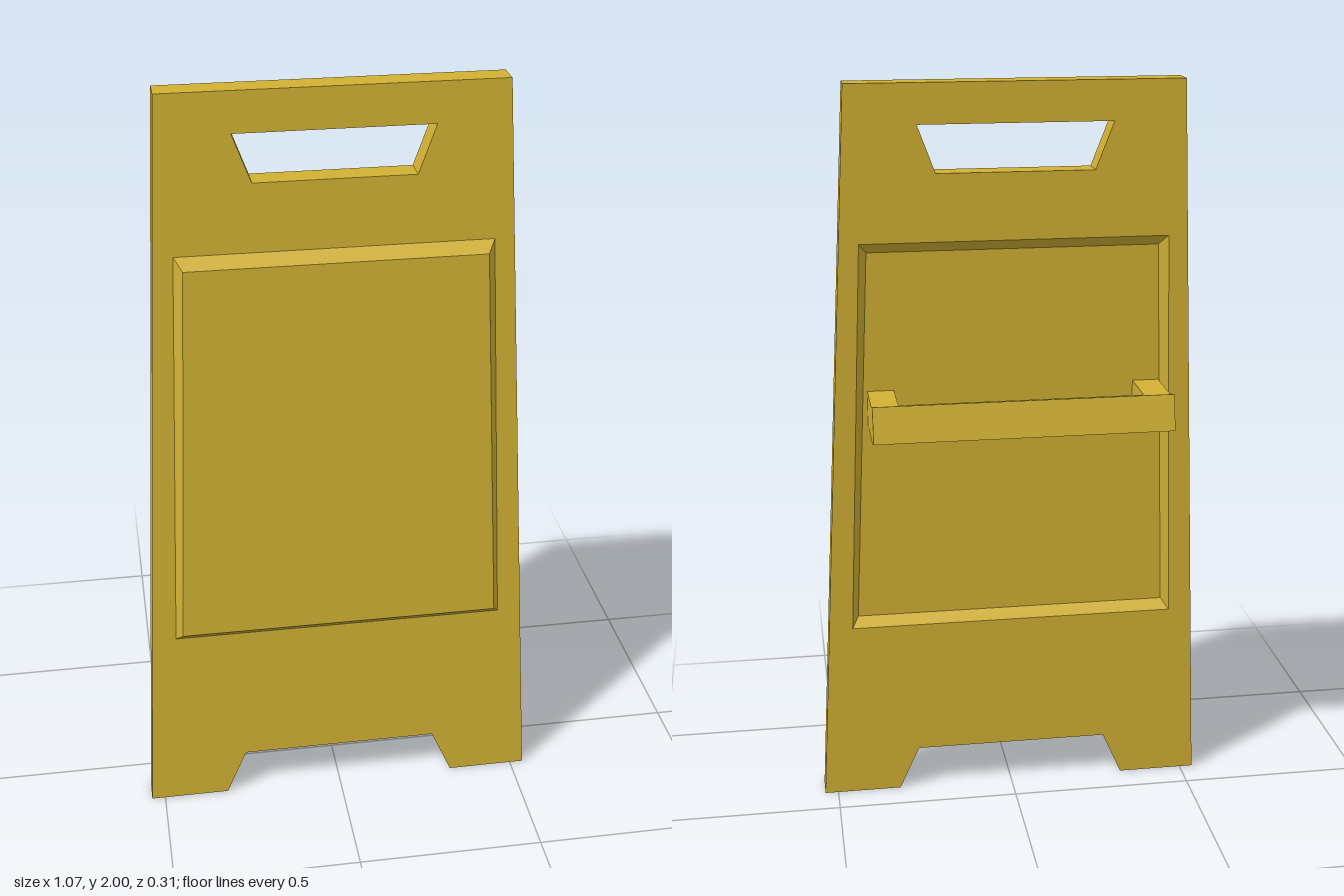
import * as THREE from 'three';

const LEAN = 0.0525; // backward lean of the board per unit of height
const BACK = 0.087; // z of the rear face at the floor
const THICK = 0.068;
const RAISE = 0.028; // panel relief

const material = new THREE.MeshStandardMaterial({ color: 0xd0b034, flatShading: true });

// Shears a geometry so that upright parts lean backwards
function lean(geometry) {
  const p = geometry.attributes.position;
  for (let i = 0; i < p.count; i++) p.setZ(i, p.getZ(i) + BACK - LEAN * p.getY(i));
  geometry.computeVertexNormals();
  return geometry;
}

// Symmetric trapezoid, counter-clockwise from the lower left
const trapezoid = (y0, w0, y1, w1) => [[-w0, y0], [w0, y0], [w1, y1], [-w1, y1]];
const vectors = (points) => points.map(([x, y]) => new THREE.Vector2(x, y));

const panelOuter = trapezoid(0.52, 0.445, 1.6, 0.4);
const panelInner = trapezoid(0.545, 0.427, 1.572, 0.38);

// Leaning board with foot notch, grip hole and panel opening
function boardGeometry() {
  const shape = new THREE.Shape(vectors([
    [-0.537, 0], [-0.322, 0], [-0.267, 0.126], [0.267, 0.126],
    [0.322, 0], [0.537, 0], [0.429, 2], [-0.429, 2],
  ]));
  shape.holes.push(new THREE.Path(vectors(trapezoid(1.775, 0.203, 1.897, 0.249))));
  shape.holes.push(new THREE.Path(vectors(panelOuter)));
  return lean(new THREE.ExtrudeGeometry(shape, { depth: THICK, bevelEnabled: false }));
}

// Pressed panel: raised at the front, recessed at the rear
function panelGeometry() {
  const loops = [
    [panelInner, RAISE], [panelOuter, 0],
    [panelOuter, THICK], [panelInner, THICK + RAISE],
  ];
  const positions = loops.flatMap(([loop, z]) => loop.flatMap(([x, y]) => [x, y, z]));
  const index = [0, 2, 1, 0, 3, 2, 12, 13, 14, 12, 14, 15];
  for (const start of [0, 8]) {
    for (let i = 0; i < 4; i++) {
      const a = start + i, b = start + (i + 1) % 4;
      index.push(a, b, b + 4, a, b + 4, a + 4);
    }
  }
  const geometry = new THREE.BufferGeometry();
  geometry.setAttribute('position', new THREE.Float32BufferAttribute(positions, 3));
  geometry.setIndex(index);
  return lean(geometry.toNonIndexed());
}

// Extrudes a side profile of [distance behind centre, height] from x0 to x1
function sideExtrude(profile, x0, x1) {
  return new THREE.ExtrudeGeometry(new THREE.Shape(vectors(profile)), { depth: x1 - x0, bevelEnabled: false })
    .rotateY(Math.PI / 2)
    .translate(x0, 0, 0);
}

export function createModel() {
  const group = new THREE.Group();
  const add = (name, geometry, parent = group) => {
    const mesh = new THREE.Mesh(geometry, material);
    mesh.name = name;
    parent.add(mesh);
  };

  add('board', boardGeometry());
  add('pressedPanel', panelGeometry());

  // Rear bracket: two arms joined by a tilted crossbar
  const bracket = new THREE.Group();
  bracket.name = 'rearBracket';
  group.add(bracket);
  const arm = [[-0.058, 1.105], [0.102, 1.105], [0.085, 1.2], [-0.058, 1.2]];
  const bar = [[0.102, 1.105], [0.156, 1.12], [0.135, 1.213], [0.085, 1.2]];
  add('rightArm', sideExtrude(arm, -0.394, -0.324), bracket);
  add('leftArm', sideExtrude(arm, 0.316, 0.386), bracket);
  add('crossbar', sideExtrude(bar, -0.394, 0.386), bracket);

  return group;
}
